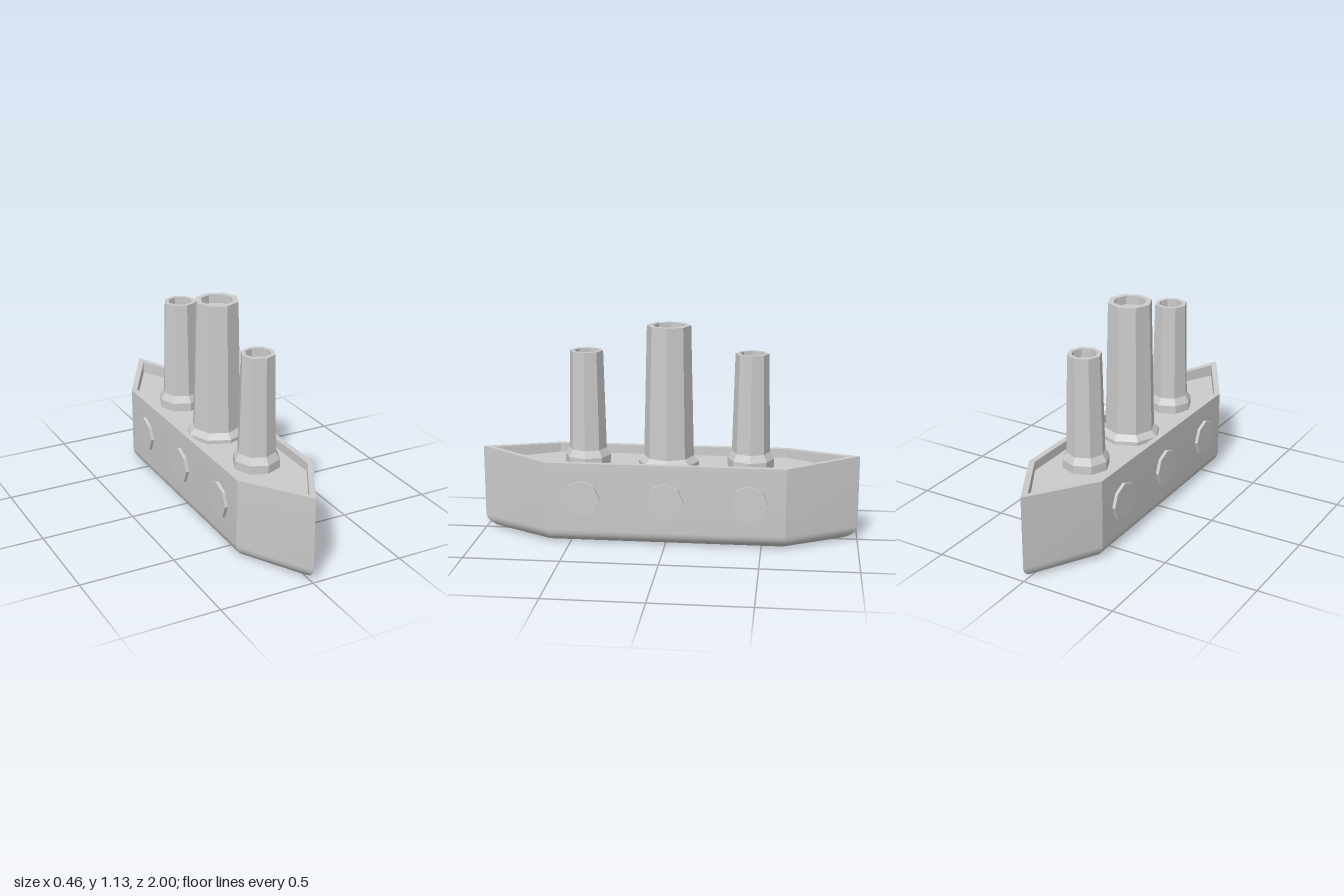
import * as THREE from 'three';
import { toCreasedNormals } from 'three/addons/utils/BufferGeometryUtils.js';

const W = 0.215, S = 0.625, L = 1;      // half width, shoulder z, tip z
const DECK = 0.385, SHEER = 0.432, TIP = 0.455, BILGE = 0.07;

const mat = new THREE.MeshStandardMaterial({ color: 0xcccccc });
const flat = new THREE.MeshStandardMaterial({ color: 0xcccccc, flatShading: true });

// Pointed six-sided outline, moved inward by d; y is a height or a rule of z
function outline(d, y) {
  const taper = Math.atan2(W, L - S);
  const w = W - d, s = S - d * Math.tan(taper / 2), l = L - d / Math.sin(taper);
  return [[0, l], [w, s], [w, -s], [0, -l], [-w, -s], [-w, s]].map(([x, z]) =>
    [x, typeof y === 'function' ? y(z) : y, z]);
}

// Hull skin: flat bottom, rounded bilge, sides, rim and sunken deck
function hullGeometry() {
  const sheer = z => SHEER + (TIP - SHEER) * Math.max(0, (Math.abs(z) - S) / (L - S));
  const rings = [outline(BILGE + 0.004, 0)];
  for (let i = 0; i <= 5; i++) {
    const t = (i / 5) * Math.PI / 2;
    rings.push(outline(BILGE * (1 - Math.sin(t)), BILGE * (1 - Math.cos(t))));
  }
  rings.push(outline(0, BILGE + 0.004), outline(0, sheer), outline(0.03, sheer), outline(0.03, DECK));

  const pos = [];
  const tri = (a, b, c) => pos.push(...a, ...b, ...c);
  const top = rings[rings.length - 1];
  for (let i = 0; i < 6; i++) {
    const j = (i + 1) % 6;
    for (let k = 0; k < rings.length - 1; k++) {
      const a = rings[k], b = rings[k + 1];
      tri(a[i], a[j], b[j]);
      tri(a[i], b[j], b[i]);
    }
    tri([0, 0, 0], rings[0][j], rings[0][i]);
    tri([0, DECK, 0], top[i], top[j]);
  }
  const g = new THREE.BufferGeometry();
  g.setAttribute('position', new THREE.Float32BufferAttribute(pos, 3));
  return toCreasedNormals(g, 0.42);
}

// Octagonal funnel with flared foot and hollow mouth
function funnel(name, z, { foot, footTop, base, flareTop, rim, height, bore }) {
  const profile = [
    [foot, DECK - 0.005], [foot, footTop], [base, flareTop], [rim, height],
    [bore, height], [bore, height - 0.045], [0, height - 0.045],
  ].map(([r, y]) => new THREE.Vector2(r, y));
  const mesh = new THREE.Mesh(new THREE.LatheGeometry(profile, 8).toNonIndexed(), flat);
  mesh.name = name;
  mesh.position.z = z;
  return mesh;
}

export function createModel() {
  const model = new THREE.Group();
  model.name = 'ship';

  const hull = new THREE.Mesh(hullGeometry(), mat);
  hull.name = 'hull';
  model.add(hull);

  const small = { foot: 0.122, footTop: 0.43, base: 0.1, flareTop: 0.467, rim: 0.087, height: 0.988, bore: 0.065 };
  const large = { foot: 0.16, footTop: 0.405, base: 0.132, flareTop: 0.435, rim: 0.115, height: 1.127, bore: 0.085 };
  model.add(
    funnel('frontFunnel', 0.432, small),
    funnel('middleFunnel', 0, large),
    funnel('rearFunnel', -0.432, small),
  );

  // Octagonal portholes on both sides
  const disc = new THREE.CylinderGeometry(0.098, 0.098, 0.05, 8).rotateZ(Math.PI / 2);
  for (const side of [1, -1]) {
    for (const z of [0.435, 0, -0.435]) {
      const porthole = new THREE.Mesh(disc, flat);
      porthole.name = side > 0 ? 'leftPorthole' : 'rightPorthole';
      porthole.position.set(side * 0.207, 0.242, z);
      model.add(porthole);
    }
  }
  return model;
}
